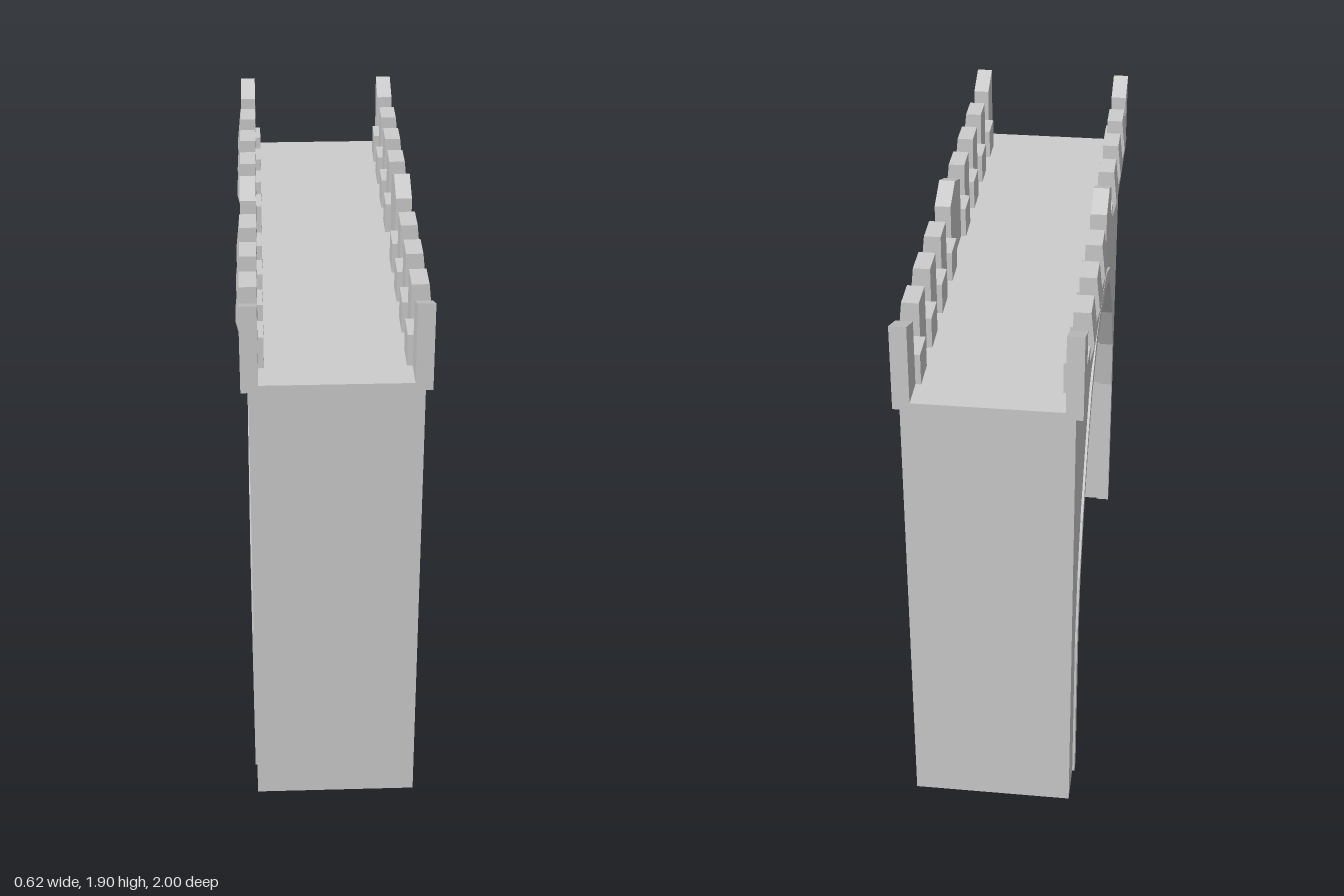
import * as THREE from 'three';

const stone = new THREE.MeshStandardMaterial({ color: 0xcccccc });
stone.name = 'stone';

const shapeOf = (points) => new THREE.Shape(points.map(([a, b]) => new THREE.Vector2(a, b)));

function addMesh(parent, name, geometry) {
  const mesh = new THREE.Mesh(geometry, stone);
  mesh.name = name;
  parent.add(mesh);
}

// Extrude a (z, y) outline across x, from x0 to x1
function acrossX(points, x0, x1) {
  const g = new THREE.ExtrudeGeometry(shapeOf(points), { depth: x1 - x0, bevelEnabled: false });
  return g.rotateY(-Math.PI / 2).translate(x1, 0, 0);
}

// Extrude an (x, y) outline along z, from z0 to z1
function alongZ(points, z0, z1) {
  const g = new THREE.ExtrudeGeometry(shapeOf(points), { depth: z1 - z0, bevelEnabled: false });
  return g.translate(0, 0, z0);
}

// Half arch outlines (z, y) from the foot to the crown, mirrored to a full arch
const mirrored = (half) => [
  ...half,
  ...half.slice(0, -1).reverse().map(([z, y]) => [-z, y]),
];
const innerArch = mirrored([[0.81, 0], [0.81, 0.6], [0.77, 0.82], [0.67, 1.03],
  [0.55, 1.19], [0.405, 1.325], [0.205, 1.4], [0, 1.415]]);
const outerArch = mirrored([[0.86, 0], [0.86, 0.6], [0.81, 0.84], [0.715, 1.05],
  [0.58, 1.22], [0.445, 1.36], [0.225, 1.45], [0, 1.467]]);
const passage = innerArch.map(([z, y]) => [z * 1.008, y * 1.004]);

const step = 1 / 9; // merlon and gap width
const DECK = 1.635, LEDGE = 1.61, GAP = 1.742, TOP = 1.86, PEAK = 1.905;

// Battlement silhouette: pointed ends and centre, square merlons between
function battlementOutline() {
  const half = [[1, LEDGE], [1, PEAK], [8 * step, TOP], [8 * step, GAP]];
  for (const k of [7, 5, 3]) {
    half.push([k * step, GAP], [k * step, TOP], [(k - 1) * step, TOP], [(k - 1) * step, GAP]);
  }
  half.push([step, GAP], [step, TOP], [0, PEAK]);
  return mirrored(half);
}

export function createModel() {
  const model = new THREE.Group();
  model.name = 'archedGateway';

  // Main block with the arched passage
  addMesh(model, 'gateBody', acrossX(
    [[1, 0], [1, DECK], [-1, DECK], [-1, 0], ...passage.slice().reverse()], -0.272, 0.272));

  for (const s of [1, -1]) {
    const side = new THREE.Group();
    side.name = s > 0 ? 'leftSide' : 'rightSide';
    model.add(side);
    const between = (points, a, b) => acrossX(points, Math.min(s * a, s * b), Math.max(s * a, s * b));
    const profile = (points, z0, z1) => alongZ(points.map(([x, y]) => [s * x, y]), z0, z1);

    // Raised trim around the arch
    addMesh(side, 'archTrim', between([...outerArch, ...innerArch.slice().reverse()], 0.23, 0.28));

    // Parapet wall with its battlements
    addMesh(side, 'parapet', between(battlementOutline(), 0.24, 0.295));

    for (const dir of [1, -1]) {
      const span = (k) => [dir * k * step, dir * (k - 1) * step].sort((a, b) => a - b);

      // Swollen outer faces of the square merlons
      for (const k of [7, 5, 3]) {
        addMesh(side, 'merlonFace', profile(
          [[0.28, TOP], [0.296, TOP], [0.308, GAP], [0.295, 1.685], [0.28, 1.685]], ...span(k)));
      }

      // Inner sills and sloped corbels below each gap
      for (const k of [8, 6, 4, 2]) {
        addMesh(side, 'gapSill', profile(
          [[0.222, DECK - 0.01], [0.222, GAP], [0.245, GAP], [0.245, DECK - 0.01]], ...span(k)));
        addMesh(side, 'corbel', profile(
          [[0.265, 1.555], [0.273, 1.555], [0.295, LEDGE], [0.265, LEDGE]], ...span(k)));
      }
    }
  }
  return model;
}
